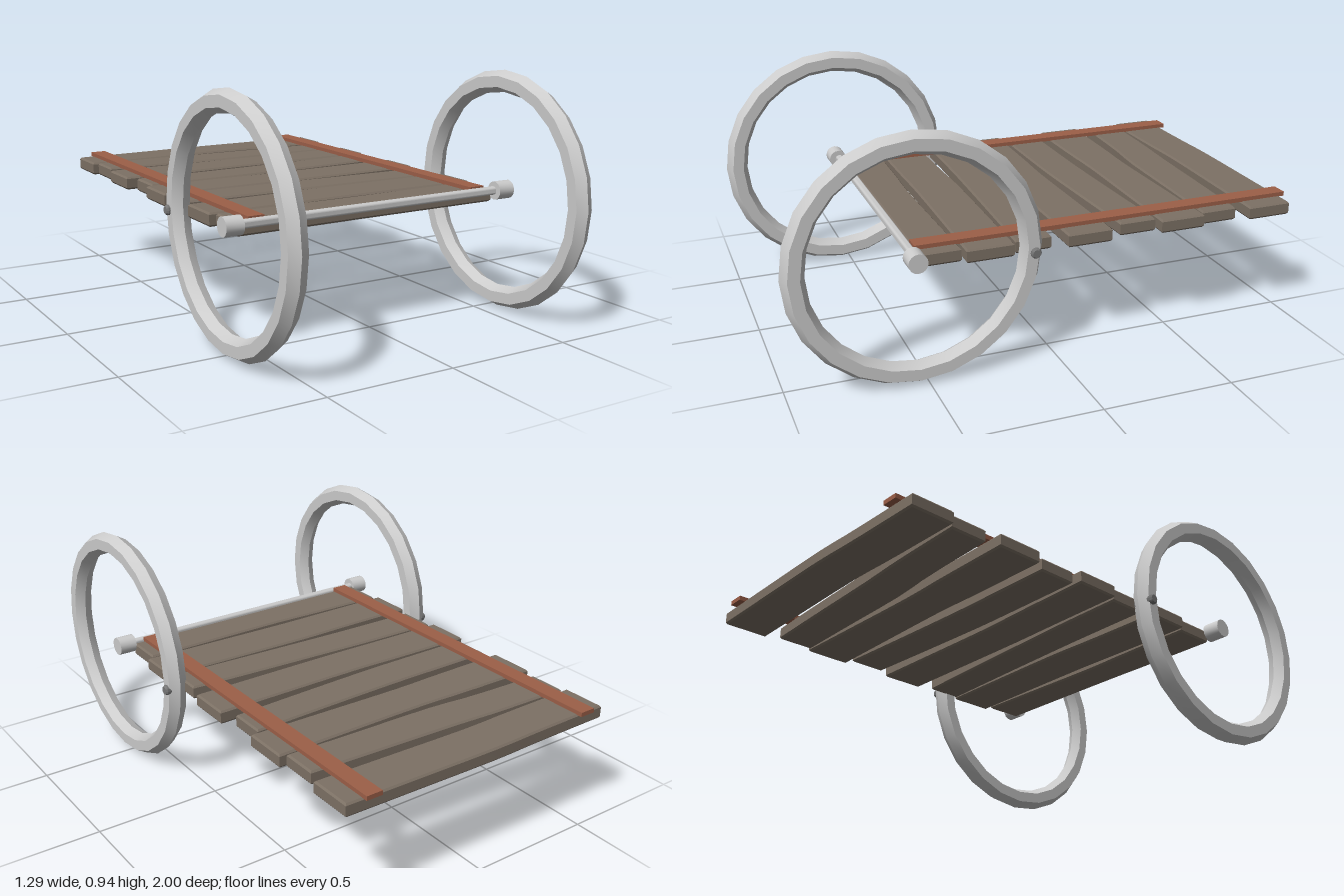
import * as THREE from 'three';
import { toCreasedNormals } from 'three/addons/utils/BufferGeometryUtils.js';

const grey = new THREE.MeshStandardMaterial({ color: 0xcccccc });
const wood = new THREE.MeshStandardMaterial({ color: 0x7d7165 });
const strapWood = new THREE.MeshStandardMaterial({ color: 0x9c5f48 });
const iron = new THREE.MeshStandardMaterial({ color: 0x777777 });

const WHEEL_Y = 0.47, WHEEL_Z = 0.533;

function add(parent, name, geometry, material, x = 0, y = 0, z = 0) {
  const mesh = new THREE.Mesh(geometry, material);
  mesh.name = name;
  mesh.position.set(x, y, z);
  parent.add(mesh);
  return mesh;
}

// Cylinder lying along x
function rod(radius, length, sides) {
  const g = new THREE.CylinderGeometry(radius, radius, length, sides).rotateZ(Math.PI / 2);
  return toCreasedNormals(g, 0.8);
}

// Plank with wavy long edges; back and front list z at left end, middle and right end
function plankGeometry(x0, x1, back, front) {
  const edge = (zs) => new THREE.SplineCurve([
    new THREE.Vector2(x0, zs[0]),
    new THREE.Vector2(x0 * 0.45, zs[0] * 0.6 + zs[1] * 0.4),
    new THREE.Vector2(-0.05, zs[1]),
    new THREE.Vector2(x1 * 0.5, zs[1] * 0.5 + zs[2] * 0.5),
    new THREE.Vector2(x1, zs[2]),
  ]).getPoints(10);
  const shape = new THREE.Shape([...edge(back), ...edge(front).reverse()]);
  const g = new THREE.ExtrudeGeometry(shape, {
    depth: 0.038, bevelThickness: 0.007, bevelSize: 0.006, bevelOffset: -0.006, bevelSegments: 1,
  });
  return toCreasedNormals(g.rotateX(Math.PI / 2), 0.4);
}

export function createModel() {
  const model = new THREE.Group();
  model.name = 'cart';

  // Deck planks, back to front
  const planks = [
    [-0.58, 0.585, [-0.98, -0.99, -0.98], [-0.81, -0.82, -0.805]],
    [-0.56, 0.56, [-0.80, -0.78, -0.755], [-0.655, -0.625, -0.612]],
    [-0.58, 0.585, [-0.605, -0.595, -0.605], [-0.425, -0.435, -0.425]],
    [-0.55, 0.55, [-0.385, -0.39, -0.415], [-0.235, -0.24, -0.27]],
    [-0.58, 0.585, [-0.22, -0.21, -0.22], [-0.045, -0.04, -0.045]],
    [-0.56, 0.565, [-0.03, -0.015, 0.015], [0.12, 0.13, 0.155]],
    [-0.58, 0.585, [0.165, 0.155, 0.165], [0.34, 0.335, 0.345]],
    [-0.56, 0.56, [0.355, 0.365, 0.355], [0.515, 0.51, 0.51]],
  ];
  const deck = new THREE.Group();
  deck.name = 'deck';
  for (const p of planks) add(deck, 'plank', plankGeometry(...p), wood, 0, 0.468, 0);
  model.add(deck);

  // Axle across the front edge of the deck
  add(model, 'axle', rod(0.017, 1.14, 16), grey, 0, WHEEL_Y, 0.528);

  for (const side of [-1, 1]) {
    // Long straps holding the planks
    const strap = new THREE.BoxGeometry(0.064, 0.017, 1.515);
    add(model, side > 0 ? 'leftStrap' : 'rightStrap', strap, strapWood, side * 0.486, 0.482, -0.2425);

    // Wheel: six-sided rim, hub and a bolt through the rim
    const wheel = new THREE.Group();
    wheel.name = side > 0 ? 'leftWheel' : 'rightWheel';
    wheel.position.set(side * 0.593, WHEEL_Y, WHEEL_Z);
    const rim = new THREE.TorusGeometry(0.426, 0.043, 6, 24).rotateY(Math.PI / 2);
    add(wheel, 'rim', toCreasedNormals(rim, 0.6), grey);
    add(wheel, 'hub', rod(0.036, 0.07, 16), grey);
    const boltProfile = [[0, -0.051], [0.015, -0.051], [0.02, -0.044], [0.02, 0.044], [0.015, 0.051], [0, 0.051]]
      .map(([r, h]) => new THREE.Vector2(r, h));
    const bolt = new THREE.LatheGeometry(boltProfile, 12).rotateZ(Math.PI / 2);
    add(wheel, 'bolt', toCreasedNormals(bolt, 0.6), iron, 0, -0.023, -0.43);
    model.add(wheel);
  }
  return model;
}
